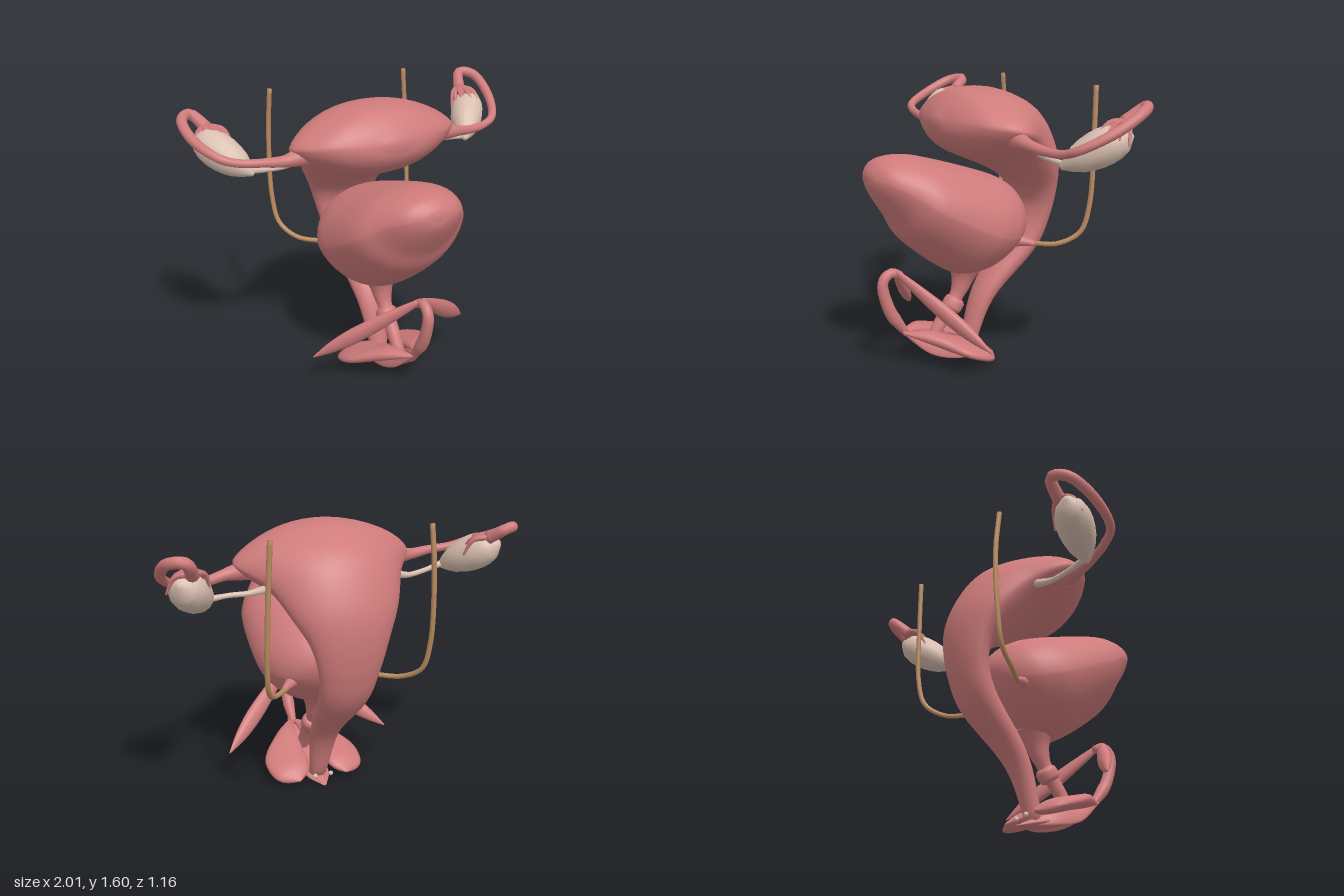
import * as THREE from 'three';

const V = (x, y, z) => new THREE.Vector3(x, y, z);
const vecs = (list) => list.map((p) => V(...p));
const pink = new THREE.MeshStandardMaterial({ color: 0xcf7b7b });
pink.name = 'tissue pink';
const cream = new THREE.MeshStandardMaterial({ color: 0xd9bfb0 });
cream.name = 'ovary cream';
const tan = new THREE.MeshStandardMaterial({ color: 0xb98a60 });
tan.name = 'ureter tan';

// Skins a row of rings, closes both ends and turns the faces outward
function skin(rings) {
  const n = rings[0].length, m = rings.length, pts = rings.flat();
  const mid = (r) => r.reduce((a, p) => a.add(p), V(0, 0, 0)).divideScalar(n);
  pts.push(mid(rings[0]), mid(rings[m - 1]));
  let idx = [];
  for (let j = 0; j < n; j++) {
    const k = (j + 1) % n, e = (m - 1) * n;
    for (let i = 0; i < m - 1; i++) {
      const a = i * n + j, b = i * n + k;
      idx.push(a, b, b + n, a, b + n, a + n);
    }
    idx.push(m * n, k, j, m * n + 1, e + j, e + k);
  }
  let volume = 0;
  for (let i = 0; i < idx.length; i += 3) {
    volume += pts[idx[i]].dot(V(0, 0, 0).crossVectors(pts[idx[i + 1]], pts[idx[i + 2]]));
  }
  if (volume < 0) idx = idx.reverse();
  const g = new THREE.BufferGeometry().setFromPoints(pts);
  g.setIndex(idx);
  g.computeVertexNormals();
  return g;
}

// Smooth body through sections with centre c, half axes u and v;
// p holds how pinched the -v half (x) and the +v half (y) of each section are
function body(c, u, v, p = c.map(() => V(1, 1, 0)), sides = 20) {
  const curves = [c, u, v, p].map((l) => new THREE.CatmullRomCurve3(l, false, 'catmullrom', 0.5));
  const steps = (c.length - 1) * 6, rings = [];
  for (let i = 0; i <= steps; i++) {
    const [C, U, W, P] = curves.map((k) => k.getPoint(i / steps));
    rings.push(Array.from({ length: sides }, (_, j) => {
      const a = (j / sides) * Math.PI * 2, s = Math.sin(a);
      return C.clone().addScaledVector(U, Math.cos(a))
        .addScaledVector(W, Math.sign(s) * Math.abs(s) ** (s < 0 ? P.x : P.y));
    }));
  }
  return skin(rings);
}

// Midline body: rows of [z1, y1, z2, y2, half width, pinch], given by opposite edge points
function midline(rows, pinch2) {
  return body(
    rows.map(([z1, y1, z2, y2]) => V(0, (y1 + y2) / 2, (z1 + z2) / 2)),
    rows.map((r) => V(r[4], 0, 0)),
    rows.map(([z1, y1, z2, y2]) => V(0, (y2 - y1) / 2, (z2 - z1) / 2)),
    rows.map((r) => V(r[5] ?? 1, pinch2 ?? r[5] ?? 1, 0)), 40);
}

// Round tube of changing radius
function tube(points, radii, sides = 12, sub = 6) {
  const curve = new THREE.CatmullRomCurve3(points);
  const steps = (points.length - 1) * sub, f = curve.computeFrenetFrames(steps, false);
  const rings = [];
  for (let i = 0; i <= steps; i++) {
    const C = curve.getPointAt(i / steps), t = (i / steps) * (radii.length - 1);
    const k = Math.min(Math.floor(t), radii.length - 2);
    const r = THREE.MathUtils.lerp(radii[k], radii[k + 1], t - k);
    rings.push(Array.from({ length: sides }, (_, j) => {
      const a = (j / sides) * Math.PI * 2;
      return C.clone().addScaledVector(f.normals[i], r * Math.cos(a))
        .addScaledVector(f.binormals[i], r * Math.sin(a));
    }));
  }
  return skin(rings);
}

export function createModel() {
  const model = new THREE.Group();
  const add = (name, geometry, material = pink) => {
    const mesh = new THREE.Mesh(geometry, material);
    mesh.name = name;
    model.add(mesh);
    return mesh;
  };

  // Canal rising backward and opening into the forward-tipped womb
  add('uterus', midline([
    [0.02, 0.04, -0.07, 0.03, 0.05], [-0.09, 0.4, -0.19, 0.33, 0.09],
    [-0.31, 0.7, -0.45, 0.6, 0.145], [-0.375, 0.86, -0.54, 0.8, 0.175],
    [-0.36, 0.96, -0.575, 1.05, 0.225], [-0.28, 1.05, -0.54, 1.25, 0.3, 1.1],
    [-0.14, 1.13, -0.42, 1.46, 0.385, 1.3], [0, 1.19, -0.2, 1.57, 0.51, 1.5],
    [0.1, 1.24, 0, 1.575, 0.41, 1.4], [0.16, 1.31, 0.1, 1.52, 0.25, 1.2],
    [0.178, 1.38, 0.172, 1.43, 0.05],
  ]));

  add('bladder', midline([
    [0.58, 1.14, 0.58, 1.11, 0.015], [0.56, 1.18, 0.575, 1.07, 0.09],
    [0.5, 1.225, 0.54, 1, 0.18], [0.37, 1.235, 0.46, 0.88, 0.265],
    [0.2, 1.2, 0.37, 0.74, 0.345], [-0.12, 1.1, 0.12, 0.55, 0.37],
    [-0.25, 1.04, -0.02, 0.52, 0.34], [-0.32, 0.97, -0.14, 0.555, 0.28],
    [-0.355, 0.88, -0.25, 0.65, 0.18], [-0.335, 0.76, -0.33, 0.75, 0.01],
  ], 1.35));

  add('urethra', tube(vecs([[0, 0.6, -0.03], [0, 0.41, 0.02], [0, 0.22, 0.15], [0, 0.1, 0.22]]),
    [0.13, 0.068, 0.042, 0.04, 0.038, 0.035], 16));
  add('urethraCollar', tube(vecs([[0, 0.365, 0.035], [0, 0.295, 0.085]]),
    [0.045, 0.06, 0.062, 0.062, 0.06, 0.045], 16, 10));

  // Arched midline shaft in front
  add('clitoralBody', tube(vecs([[0, 0.55, 0.39], [0, 0.575, 0.45], [0, 0.53, 0.5],
    [0, 0.36, 0.465], [0, 0.2, 0.36]]), [0.025, 0.03, 0.034, 0.036, 0.02], 14));

  // Floor plate and opening at the bottom
  add('vestibule', midline([
    [0.36, 0.2, 0.36, 0.18, 0.01], [0.28, 0.17, 0.27, 0.1, 0.045], [0.15, 0.1, 0.14, 0.045, 0.065],
    [-0.02, 0.055, -0.02, 0.008, 0.075], [-0.14, 0.01, -0.14, 0.002, 0.01],
  ]));
  const rim = add('vaginalRim', new THREE.TorusGeometry(0.04, 0.014, 10, 24));
  rim.position.set(0, 0.035, 0);
  rim.rotation.x = Math.PI / 2;

  for (const s of [1, -1]) {
    const name = s > 0 ? 'left' : 'right';
    const mirror = (list) => list.map(([x, y, z]) => V(s * x, y, z));

    // Spindle-shaped leg running down and back
    const [a, b] = mirror([[0.015, 0.575, 0.42], [0.505, 0.205, 0.095]]);
    const across = V(s * 0.37, 0.49, 0).normalize();
    const flat = b.clone().sub(a).cross(across).normalize();
    const radii = [0.02, 0.034, 0.044, 0.051, 0.049, 0.034, 0.004];
    add(name + 'Crus', body(radii.map((_, i) => a.clone().lerp(b, i / 6)),
      radii.map((r) => across.clone().multiplyScalar(r)),
      radii.map((r) => flat.clone().multiplyScalar(r * 0.65))));

    // Flattened teardrop bulb
    const widths = [0.01, 0.07, 0.12, 0.105, 0.01];
    add(name + 'Bulb', body(
      mirror([[0.02, 0.21, 0.38], [0.1, 0.18, 0.24], [0.165, 0.13, 0.1], [0.17, 0.08, -0.05], [0.15, 0.055, -0.12]]),
      widths.map((r) => V(s * r, -r * 0.15, 0)),
      widths.map((r) => V(0, 1, 0.3).multiplyScalar(Math.min(r * 0.6, 0.045)))));

    // Thin fold beside the opening
    const heights = [0.01, 0.05, 0.045, 0.006];
    add(name + 'Fold', body(
      mirror([[0.015, 0.22, 0.39], [0.045, 0.125, 0.24], [0.065, 0.065, 0.06], [0.015, 0.012, -0.12]]),
      heights.map((r) => V(s * r * 0.35, -r, 0)), heights.map((r) => V(s * Math.min(r, 0.014), 0.003, 0))));

    const gland = add(name + 'Gland', new THREE.SphereGeometry(0.014, 12, 8), cream);
    gland.position.set(s * 0.05, 0.06, -0.11);

    // The right tube and ovary sit slightly higher and further forward
    const pose = (list) => mirror(list).map((p) => {
      const t = s < 0 ? THREE.MathUtils.smoothstep(-p.x, 0.5, 0.75) : 0;
      const lift = 0.05 * t * THREE.MathUtils.clamp((1.53 - p.y) * 5, 0, 1);
      return p.add(V(-0.015 * t, lift, 0.05 * t));
    });
    add(name + 'FallopianTube', tube(pose([[0.42, 1.345, -0.085], [0.54, 1.33, -0.08],
      [0.67, 1.31, -0.11], [0.78, 1.31, -0.14], [0.87, 1.34, -0.17], [0.955, 1.43, -0.33],
      [0.955, 1.525, -0.5], [0.89, 1.535, -0.555], [0.83, 1.45, -0.465]]),
    [0.06, 0.032, 0.024, 0.023, 0.025, 0.028, 0.029, 0.03, 0.036]));
    const [o, e] = pose([[0.69, 1.225, -0.185], [0.9, 1.41, -0.47]]);
    add(name + 'Ovary', tube([o, e], [0.012, 0.048, 0.075, 0.09, 0.098, 0.1, 0.094, 0.075, 0.02], 14, 16), cream);
    add(name + 'OvarianLigament', tube(pose([[0.36, 1.28, -0.25], [0.46, 1.255, -0.22],
      [0.57, 1.25, -0.2], [0.72, 1.24, -0.205]]), [0.025, 0.015, 0.014, 0.02]), cream);

    // Finger fringe spreading over the ovary
    const [hub] = pose([[0.83, 1.46, -0.475]]);
    for (let i = 0; i < 10; i++) {
      const t = i / 4.5 - 1, reach = 0.15 * (1 - 0.45 * t * t - (i % 2) * 0.12);
      const x = 0.01 + t * 0.11, drop = 0.035 + t * t * 0.07;
      const finger = [V(t * 0.015, 0, 0), V(x * 0.7, 0.012 - drop * 0.3, reach / 2), V(x, -drop, reach)];
      add(name + 'Fimbria', tube(finger.map((p) => p.add(hub)), [0.018, 0.012, 0.006], 6, 4));
    }

    // Ureter dropping behind and hooking toward the bladder, closer in on the right
    const inset = s < 0 ? 0.05 : 0;
    const ureter = [[0.475, 1.605, -0.56], [0.485, 1.34, -0.55], [0.49, 0.95, -0.53],
      [0.468, 0.8, -0.49], [0.4, 0.73, -0.39], [0.29, 0.72, -0.285]]
      .map(([x, y, z]) => [x - inset, y, z + inset * 2.5 * Math.max(0, y - 1.34)]);
    add(name + 'Ureter', tube(mirror(ureter), [0.014, 0.014, 0.014, 0.014, 0.014], 10, 8), tan);

    // Bladder wall drawn out to meet the ureter
    add(name + 'UreterJunction', tube(mirror([[0.31 - inset, 0.72, -0.295], [0.2, 0.74, -0.19]]), [0.016, 0.03, 0.06]));
  }
  return model;
}
